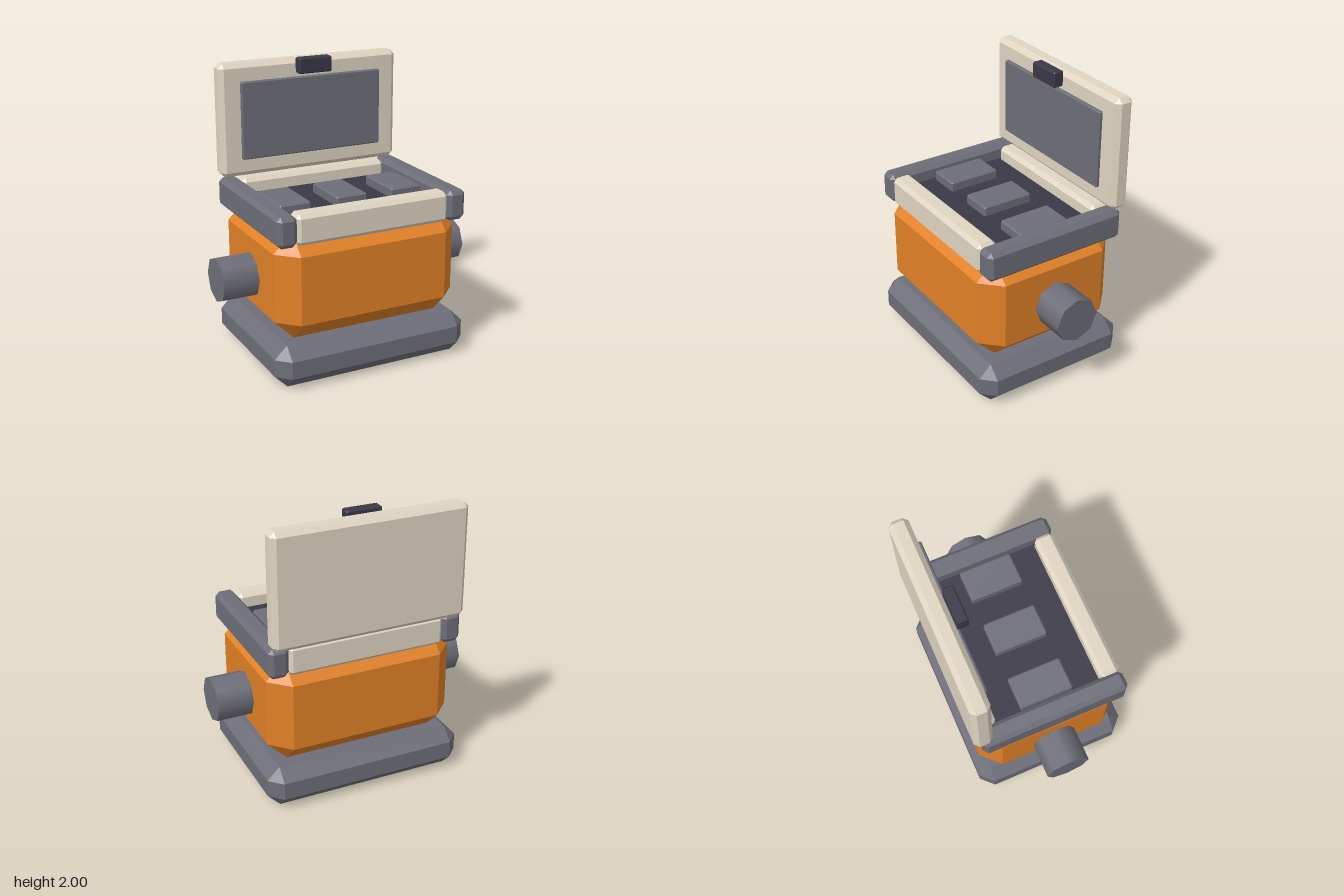
import * as THREE from 'three';
import { ConvexGeometry } from 'three/addons/geometries/ConvexGeometry.js';

const material = (name, color) => {
  const m = new THREE.MeshStandardMaterial({ color });
  m.name = name;
  return m;
};

// Box with one flat chamfer of size c on every edge, given by its limits
function chamferBox([x0, x1], [y0, y1], [z0, z1], c) {
  const h = [(x1 - x0) / 2, (y1 - y0) / 2, (z1 - z0) / 2];
  const points = [];
  for (const sx of [-1, 1]) for (const sy of [-1, 1]) for (const sz of [-1, 1]) {
    for (let axis = 0; axis < 3; axis++) {
      const p = h.map((v, i) => (i === axis ? v : v - c));
      points.push(new THREE.Vector3(sx * p[0], sy * p[1], sz * p[2]));
    }
  }
  const g = new ConvexGeometry(points);
  g.translate((x0 + x1) / 2, (y0 + y1) / 2, (z0 + z1) / 2);
  return g;
}

export function createModel() {
  const group = new THREE.Group();
  group.name = 'openConsole';

  const orange = material('orange', 0xe28126);
  const grey = material('grey', 0x6e6e79);
  const cream = material('cream', 0xe0d5c2);
  const dark = material('dark', 0x3a3846);

  const add = (name, geometry, mat) => {
    const mesh = new THREE.Mesh(geometry, mat);
    mesh.name = name;
    group.add(mesh);
    return mesh;
  };
  const box = (name, x, y, z, c, mat) => add(name, chamferBox(x, y, z, c), mat);

  // Foot and main body
  box('base', [-0.718, 0.718], [0, 0.297], [-0.56, 0.575], 0.088, grey);
  box('body', [-0.675, 0.675], [0.297, 1.04], [-0.52, 0.532], 0.135, orange);

  // Side rails and round side handles
  for (const s of [-1, 1]) {
    const side = s > 0 ? 'left' : 'right';
    const x = [s * 0.555, s * 0.695].sort((a, b) => a - b);
    box(side + 'Rail', x, [0.975, 1.187], [-0.52, 0.532], 0.03, grey);

    const handle = new THREE.CylinderGeometry(0.157, 0.157, 0.33, 8);
    handle.rotateZ(-s * Math.PI / 2);
    handle.translate(s * 0.76, 0.637, 0.005);
    add(side + 'Handle', handle, grey);
  }

  // Front and back rims between the rails
  box('frontRim', [-0.56, 0.56], [0.975, 1.185], [0.385, 0.525], 0.027, cream);
  box('backRim', [-0.56, 0.56], [0.975, 1.185], [-0.515, -0.375], 0.027, cream);

  // Recessed deck with three keys
  box('deck', [-0.57, 0.57], [1.0, 1.085], [-0.42, 0.42], 0.005, dark);
  for (const x of [-0.42, 0, 0.42]) {
    box('key', [x - 0.115, x + 0.115], [1.06, 1.152], [-0.187, 0.192], 0.01, grey);
  }

  // Raised lid with screen and latch
  box('lid', [-0.685, 0.685], [1.187, 1.987], [-0.575, -0.44], 0.033, cream);
  box('screen', [-0.538, 0.538], [1.312, 1.861], [-0.445, -0.412], 0.008, grey);
  box('latch', [-0.124, 0.124], [1.89, 2.0], [-0.432, -0.355], 0.008, dark);

  return group;
}
